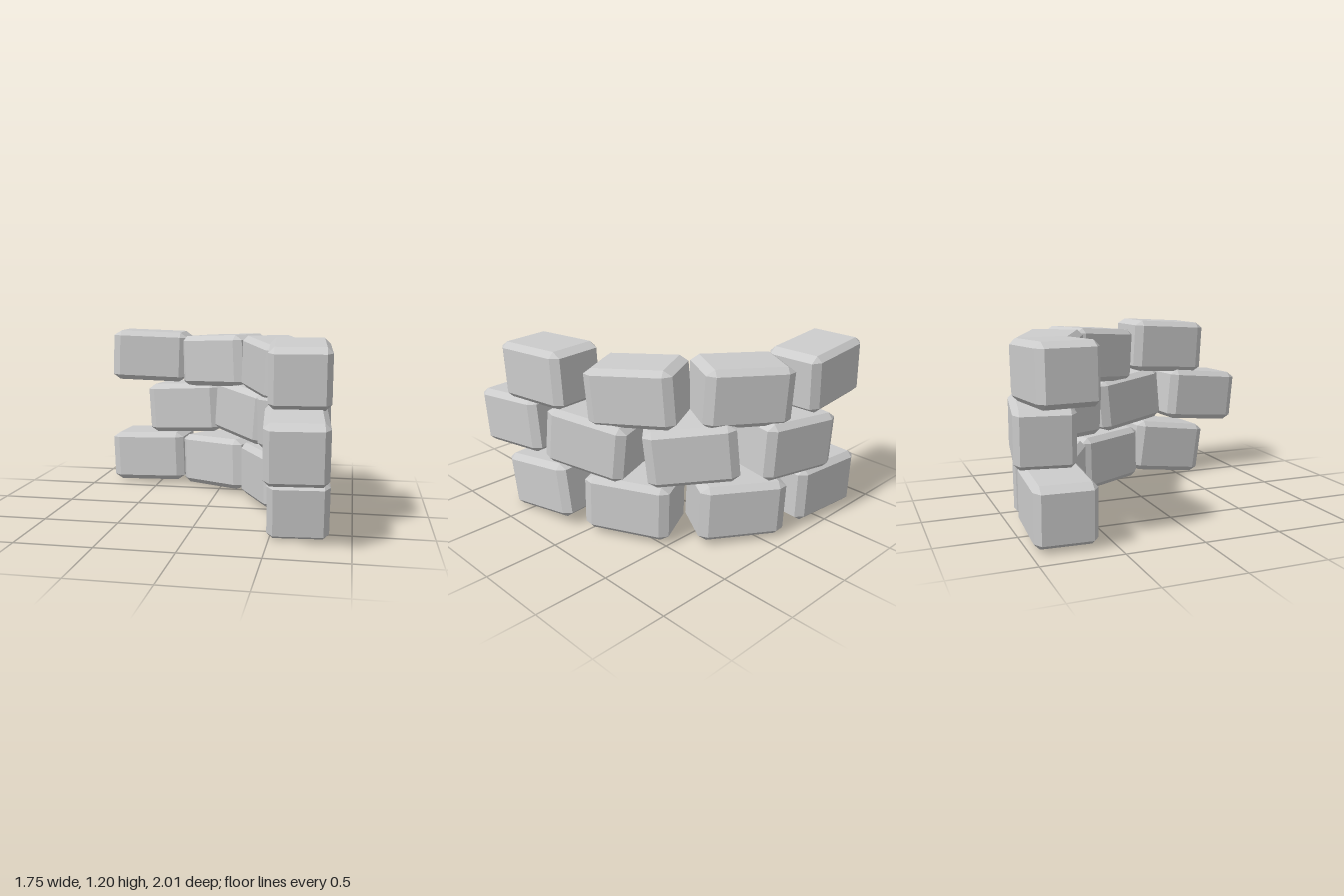
import * as THREE from 'three';
import { ConvexGeometry } from 'three/addons/geometries/ConvexGeometry.js';

// Block with all edges and corners cut; cuts scale with each dimension
function chamferedBlock(length, height, depth, cut) {
  const points = [];
  const inner = 0.5 - cut;
  for (const sx of [-1, 1]) for (const sy of [-1, 1]) for (const sz of [-1, 1]) {
    for (let axis = 0; axis < 3; axis++) {
      const r = [inner, inner, inner];
      r[axis] = 0.5;
      points.push(new THREE.Vector3(sx * r[0] * length, sy * r[1] * height, sz * r[2] * depth));
    }
  }
  return new ConvexGeometry(points);
}

// Courses from bottom to top; each block is x, y, z, yaw and tilt in degrees
const COURSES = {
  bottomCourse: [
    [-0.575, 0.215, -0.775, -3, 2],
    [0.02, 0.215, -0.645, -30, 2],
    [0.47, 0.222, -0.18, -63, 1],
    [0.655, 0.222, 0.41, -85, -8],
  ],
  middleCourse: [
    [-0.275, 0.605, -0.78, -9.5, 3.5],
    [0.27, 0.625, -0.49, -45, -6],
    [0.59, 0.625, 0.04, -70, 6],
    [0.66, 0.61, 0.695, -85, -5.5],
  ],
  topCourse: [
    [-0.575, 1.0, -0.775, 4, -2],
    [0.01, 0.98, -0.65, -28.5, 3],
    [0.465, 0.975, -0.22, -63, -4.5],
    [0.657, 1.0, 0.415, -86, -3.5],
  ],
};

export function createModel() {
  const wall = new THREE.Group();
  wall.name = 'curvedBlockWall';
  const geometry = chamferedBlock(0.57, 0.375, 0.38, 0.097);
  const material = new THREE.MeshStandardMaterial({ color: 0xcccccc, flatShading: true });
  const rad = THREE.MathUtils.degToRad;

  for (const [name, blocks] of Object.entries(COURSES)) {
    const course = new THREE.Group();
    course.name = name;
    blocks.forEach(([x, y, z, yaw, tilt], i) => {
      const block = new THREE.Mesh(geometry, material);
      block.name = `stoneBlock${i + 1}`;
      block.position.set(x, y, z);
      block.rotation.set(0, rad(yaw), rad(tilt), 'YXZ');
      course.add(block);
    });
    wall.add(course);
  }
  return wall;
}
